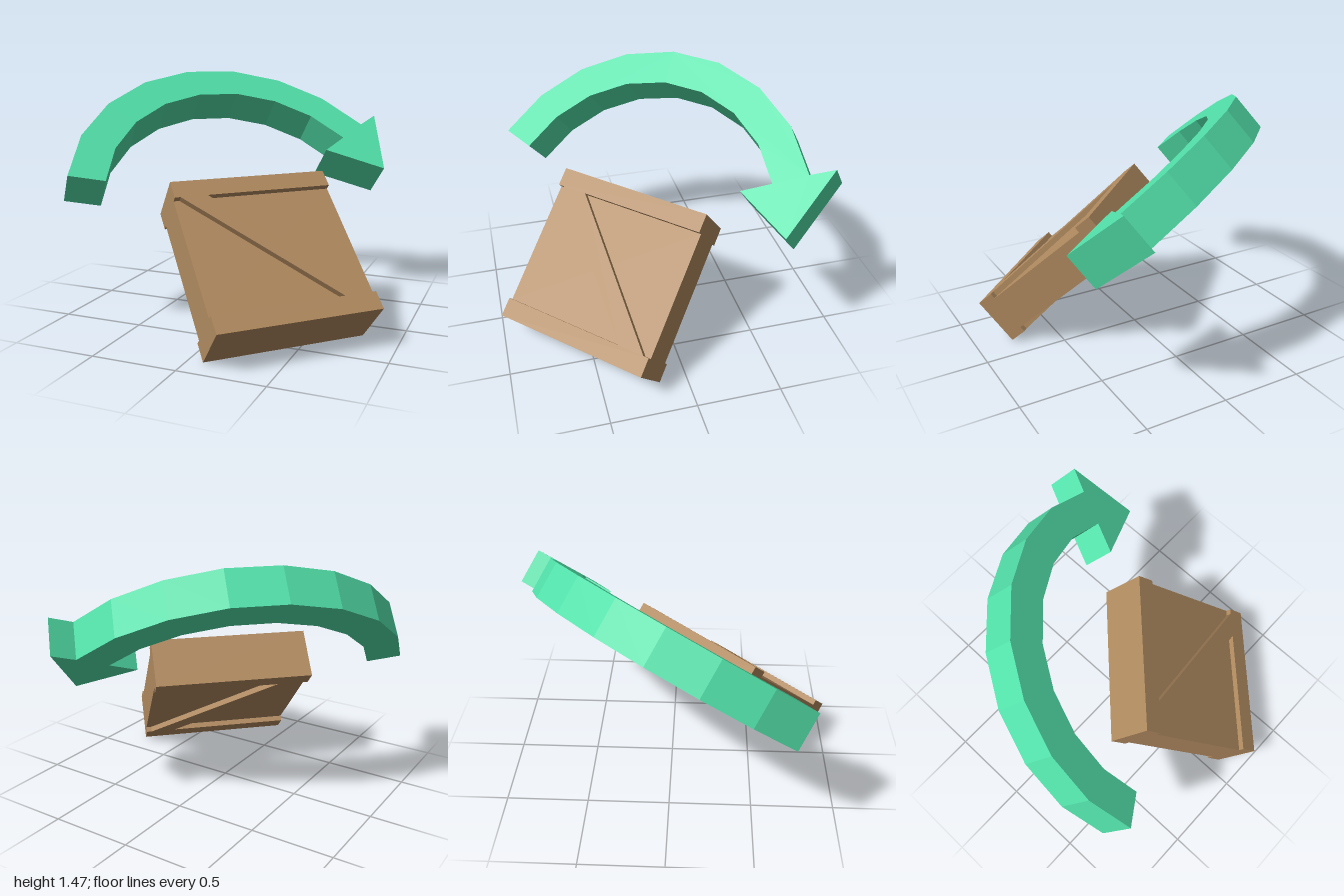
import * as THREE from 'three';

export function createModel() {
  const wood = new THREE.MeshStandardMaterial({ color: 0xb08a5f });
  wood.name = 'wood brown';
  const green = new THREE.MeshStandardMaterial({ color: 0x52e0a9 });
  green.name = 'arrow green';

  // Everything lies in one tilted plane: x across, y up the slope, z out of it
  const tilted = new THREE.Group();
  tilted.name = 'tiltedIcon';
  tilted.rotation.set(THREE.MathUtils.degToRad(-48), Math.PI / 4, 0, 'YXZ');
  tilted.position.set(0.473, 0.743, 0.473).multiplyScalar(0.603);

  const add = (parent, name, geometry, material, x = 0, y = 0) => {
    const mesh = new THREE.Mesh(geometry, material);
    mesh.name = name;
    mesh.position.set(x, y, 0);
    parent.add(mesh);
  };

  // Flat outline extruded evenly to both sides of the plane
  const plate = (points, depth) => {
    const shape = new THREE.Shape(points.map(([x, y]) => new THREE.Vector2(x, y)));
    return new THREE.ExtrudeGeometry(shape, { depth, bevelEnabled: false }).translate(0, 0, -depth / 2);
  };

  // Crate: recessed panel, two end planks and a diagonal brace
  const W = 0.978, H = 0.975, T = 0.308, plank = 0.112, recess = 0.035;
  const inner = H / 2 - plank;
  const crate = new THREE.Group();
  crate.name = 'crate';
  crate.position.set(-0.053, -0.005, 0);
  add(crate, 'panel', new THREE.BoxGeometry(W, inner * 2, T - recess * 2), wood);
  for (const side of [1, -1]) {
    add(crate, side > 0 ? 'topPlank' : 'bottomPlank',
      new THREE.BoxGeometry(W, plank, T), wood, 0, side * (H - plank) / 2);
  }
  const brace = [[0.3 * W, -inner], [0.465 * W, -inner], [-0.3 * W, inner], [-0.465 * W, inner]];
  add(crate, 'diagonalBrace', plate(brace, T), wood);
  tilted.add(crate);

  // Curved arrow: faceted arc ending in a triangular head
  const outerR = 1.092, innerR = 0.882, segments = 8;
  const start = 164.8, end = 30.8;
  const arcPoint = (r, i) => {
    const a = THREE.MathUtils.degToRad(start + (end - start) * i / segments);
    return [r * Math.cos(a), r * Math.sin(a)];
  };
  const outline = [];
  for (let i = 0; i <= segments; i++) outline.push(arcPoint(outerR, i));
  outline.push([1.072, 0.631], [0.945, 0.175], [0.595, 0.357]);
  for (let i = segments; i >= 0; i--) outline.push(arcPoint(innerR, i));
  add(tilted, 'curvedArrow', plate(outline, 0.23), green, -0.04, 0.32);

  const model = new THREE.Group();
  model.name = 'crateWithArrow';
  model.add(tilted);
  return model;
}
